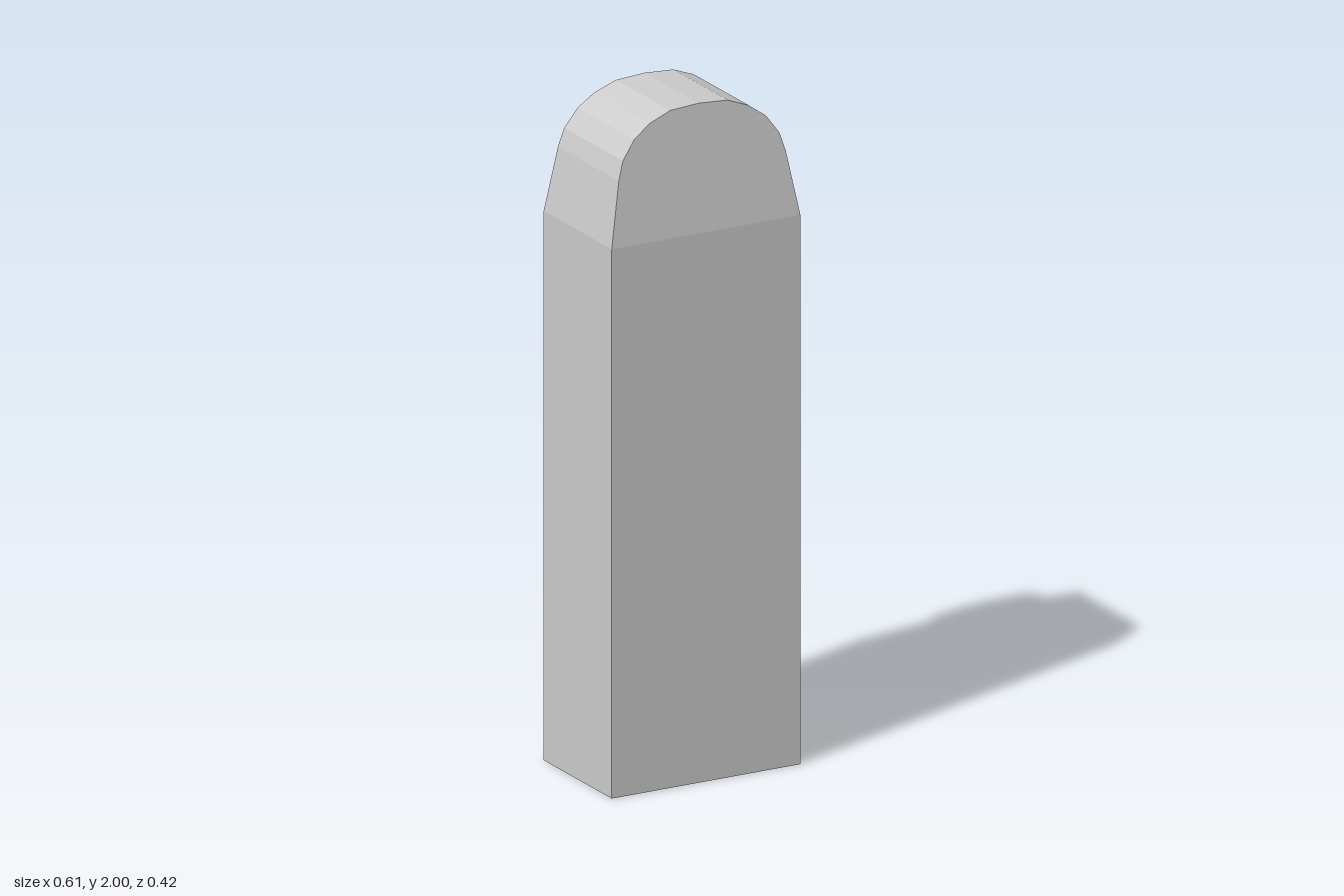
import * as THREE from 'three';

const FRONT = 0.209, BACK = -0.178, FLOOR = -0.09, SHOULDER = 1.63;

export function createModel() {
  const model = new THREE.Group();
  const material = new THREE.MeshStandardMaterial({ color: 0xcccccc, flatShading: true });

  const add = (name, geometry, x = 0, y = 0, z = 0) => {
    const mesh = new THREE.Mesh(geometry, material);
    mesh.name = name;
    mesh.position.set(x, y, z);
    model.add(mesh);
    return mesh;
  };
  const rectangle = (Type, w, y0, y1) => new Type([
    new THREE.Vector2(-w, y0), new THREE.Vector2(w, y0),
    new THREE.Vector2(w, y1), new THREE.Vector2(-w, y1),
  ]);
  const extrude = (shape, depth) => new THREE.ExtrudeGeometry(shape, { depth, bevelEnabled: false });

  // Solid front part of the tower shaft
  add('shaft', extrude(rectangle(THREE.Shape, 0.305, 0, SHOULDER), FRONT - FLOOR), 0, 0, FLOOR);

  // Frame around the recess in the back
  const frame = rectangle(THREE.Shape, 0.305, 0, SHOULDER);
  frame.holes.push(rectangle(THREE.Path, 0.243, 0.052, 1.575));
  add('backFrame', extrude(frame, FLOOR - BACK), 0, 0, BACK);

  // Raised panel inside the recess
  add('backPanel', new THREE.BoxGeometry(0.335, 1.405, 0.07), 0, 0.81, FLOOR - 0.015);

  // Rounded crown, narrowing in depth toward the top
  const side = [[0.305, SHOULDER], [0.27, 1.82], [0.253, 1.875], [0.213, 1.93], [0.16, 1.968], [0.093, 1.994]];
  const outline = [...side, [0, 2], ...side.map(([x, y]) => [-x, y]).reverse()];
  const crown = extrude(new THREE.Shape(outline.map(([x, y]) => new THREE.Vector2(x, y))), FRONT - BACK);
  crown.translate(0, 0, BACK);
  const p = crown.attributes.position;
  for (let i = 0; i < p.count; i++) {
    const t = (p.getY(i) - SHOULDER) / (2 - SHOULDER);
    p.setZ(i, p.getZ(i) + (p.getZ(i) > 0 ? -0.042 : 0.038) * t);
  }
  crown.computeVertexNormals();
  add('crown', crown);

  // Clock dial on the back of the crown
  const dial = new THREE.CylinderGeometry(0.149, 0.149, 0.085, 32).rotateX(Math.PI / 2);
  add('clockDial', dial, 0, 1.82, -0.1635);

  // Thin clock hands, each growing from the dial centre
  for (const [name, length, angle] of [['minuteHand', 0.12, Math.PI], ['hourHand', 0.1, Math.PI * 1.24]]) {
    const hand = new THREE.BoxGeometry(length, 0.01, 0.006).translate(length / 2, 0, 0);
    add(name, hand, 0, 1.82, -0.206).rotation.z = angle;
  }
  return model;
}
